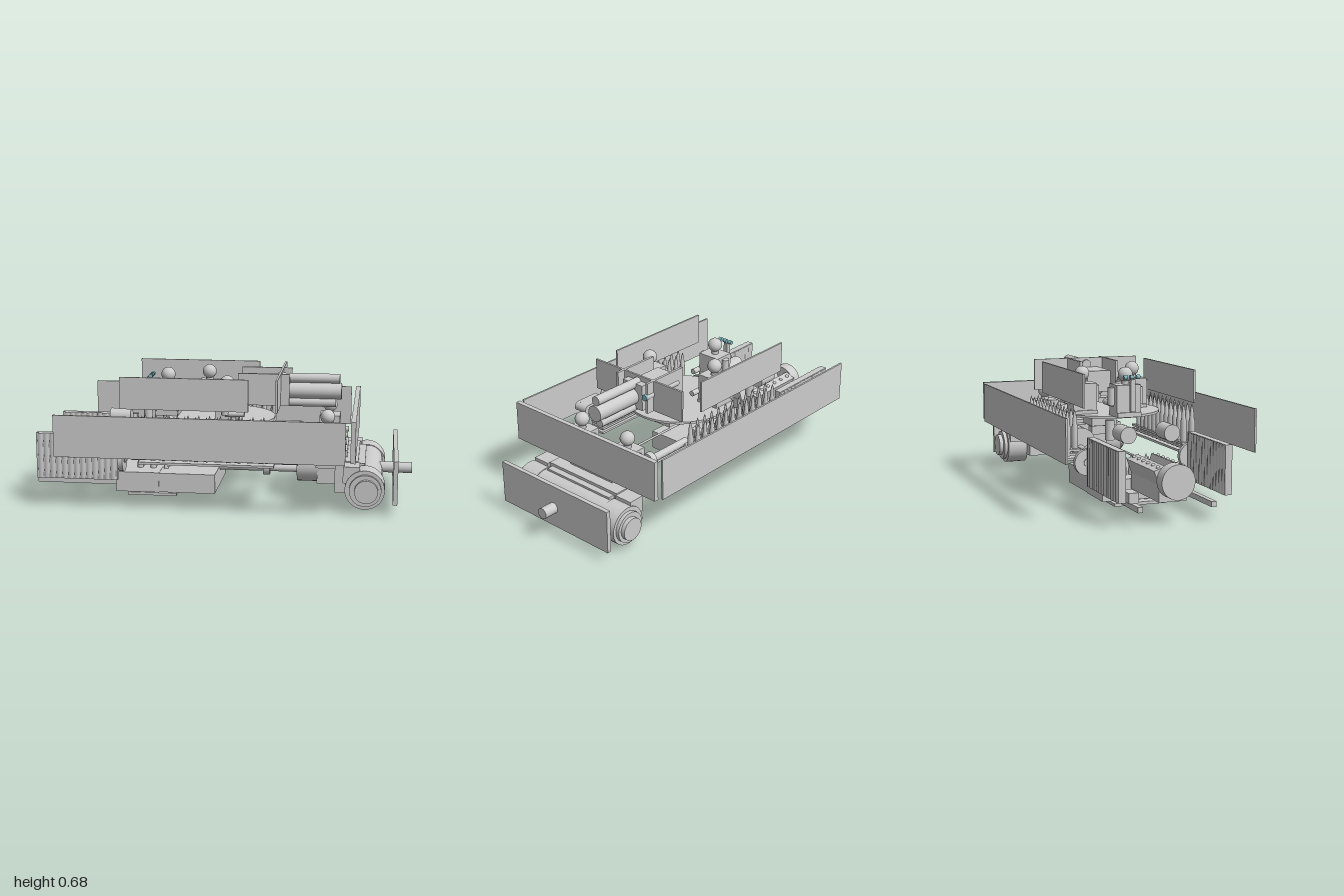
import * as THREE from 'three';

export function createModel() {
  const root = new THREE.Group();
  const grey = new THREE.MeshStandardMaterial({ color: 0xcccccc });
  const teal = new THREE.MeshStandardMaterial({ color: 0x7fb8c0 });

  function add(name, geo, x, y, z, mat = grey, parent = root) {
    const m = new THREE.Mesh(geo, mat);
    m.name = name;
    m.position.set(x, y, z);
    parent.add(m);
    return m;
  }
  // Box given by its lower and upper limits on each axis
  const box = (name, x0, x1, y0, y1, z0, z1, parent = root) =>
    add(name, new THREE.BoxGeometry(x1 - x0, y1 - y0, z1 - z0),
      (x0 + x1) / 2, (y0 + y1) / 2, (z0 + z1) / 2, grey, parent);
  // Cylinder along a chosen axis
  function cyl(name, axis, r, len, x, y, z, { mat = grey, parent = root, seg = 28 } = {}) {
    const g = new THREE.CylinderGeometry(r, r, len, seg);
    if (axis === 'x') g.rotateZ(-Math.PI / 2);
    if (axis === 'z') g.rotateX(Math.PI / 2);
    return add(name, g, x, y, z, mat, parent);
  }
  const ball = (name, r, x, y, z, parent = root) =>
    add(name, new THREE.SphereGeometry(r, 24, 16), x, y, z, grey, parent);

  // Separated hull plates
  for (const s of [-1, 1])
    box('hullSidePlate', -0.82, 0.66, 0.288, 0.505, s * 0.487 - 0.005, s * 0.487 + 0.005);
  box('upperFrontPlate', 0.685, 0.71, 0.298, 0.51, -0.485, 0.485);
  box('lowerFrontPlate', 0.9, 0.923, 0.06, 0.288, -0.372, 0.372);
  cyl('hullGun', 'x', 0.029, 0.17, 0.915, 0.166, 0);

  // Turret plates
  for (const s of [-1, 1]) {
    box('turretSidePlate', -0.515, 0.155, 0.505, 0.673, s * 0.296 - 0.005, s * 0.296 + 0.005);
    box('mantletCheek', 0.08, 0.35, 0.505, 0.673, s * 0.102 - 0.007, s * 0.102 + 0.007);
  }
  box('turretFrontPlate', 0.294, 0.305, 0.505, 0.673, -0.3, 0.3);

  // Main gun, breech and sight
  box('gunBreech', 0.08, 0.294, 0.505, 0.62, -0.067, 0.067);
  box('gunMantlet', 0.305, 0.345, 0.505, 0.645, -0.067, 0.067);
  cyl('mainBarrel', 'x', 0.043, 0.34, 0.45, 0.57, 0);
  cyl('upperRecuperator', 'x', 0.025, 0.33, 0.445, 0.637, 0);
  cyl('lowerRecuperator', 'x', 0.024, 0.31, 0.435, 0.508, 0);
  cyl('gunSight', 'x', 0.016, 0.24, 0.235, 0.597, -0.1);
  cyl('sightLens', 'x', 0.017, 0.012, 0.359, 0.597, -0.1, { mat: teal });

  // Crew of five, seated and facing forward
  function crew(name, x, y, z) {
    const g = new THREE.Group();
    g.name = name;
    g.position.set(x, y, z);
    root.add(g);
    ball('head', 0.038, 0, 0, 0, g);
    cyl('neck', 'y', 0.02, 0.04, 0, -0.045, 0, { parent: g });
    box('torso', -0.055, 0.055, -0.19, -0.05, -0.065, 0.065, g);
    box('seat', -0.065, 0.06, -0.215, -0.19, -0.065, 0.065, g);
    for (const s of [-1, 1]) {
      cyl('shoulder', 'y', 0.02, 0.09, 0, -0.11, s * 0.075, { parent: g });
      cyl('forearm', 'x', 0.015, 0.1, 0.05, -0.15, s * 0.072, { parent: g });
    }
  }
  crew('commander', -0.31, 0.641, 0);
  crew('loader', -0.11, 0.633, -0.165);
  crew('gunner', 0.03, 0.633, 0.17);
  for (const s of [-1, 1]) {
    crew('driver', 0.555, 0.465, s * 0.16);
    box('driverSeatBase', 0.5, 0.61, 0.2, 0.25, s * 0.16 - 0.05, s * 0.16 + 0.05);
  }

  // Observation scope behind the commander
  for (let i = 0; i < 3; i++)
    cyl('observationScope', 'z', 0.011, 0.02, -0.4, 0.635, (i - 1) * 0.034, { mat: teal });
  box('scopeStand', -0.425, -0.4, 0.46, 0.625, -0.012, 0.012);
  cyl('radioDrum', 'y', 0.024, 0.1, -0.45, 0.38, -0.137);

  // Turret floor with the traverse drive below it
  cyl('turretFloor', 'y', 0.287, 0.012, -0.02, 0.419, 0, { seg: 56 });
  box('traverseDrive', 0, 0.14, 0.33, 0.413, -0.07, 0.07);

  // Shell: case, shoulder, pointed tip, standing on its base
  const shellProfile = [[0, 0], [0.016, 0], [0.016, 0.11], [0.011, 0.125], [0.011, 0.14], [0.006, 0.165], [0, 0.18]];
  const shellGeo = new THREE.LatheGeometry(shellProfile.map(p => new THREE.Vector2(...p)), 14);
  const shell = (name, x, y, z, stretch) =>
    add(name, shellGeo, x, y, z).scale.set(1, stretch, 1);

  // Ammunition racks along both sides
  for (const s of [-1, 1]) {
    for (const y of [0.235, 0.26, 0.28])
      box('rackTray', -0.41, 0.293, y - 0.006, y + 0.006, s * 0.32 - 0.042, s * 0.32 + 0.042);
    for (let i = 0; i < 12; i++)
      for (const z of [0.298, 0.34])
        shell('rackShell', -0.38 + i * 0.056 - (z > 0.32 ? 0.01 : 0), 0.25, s * z, 1.3);
  }

  // Belly box with lower plate and the shells standing in it
  box('bellyBoxRear', -0.56, -0.33, 0.04, 0.147, -0.215, 0.215);
  box('bellyBoxFront', -0.33, -0.03, 0.042, 0.145, -0.213, 0.213);
  box('lowerHatch', -0.515, -0.25, 0, 0.015, -0.135, 0.135);
  [-0.45, -0.38, -0.31].forEach((x, row) => {
    for (let i = 0; i < 6; i++) {
      const z = -0.1 + i * 0.04;
      cyl('hatchPin', 'y', 0.012, 0.03, x, 0.028, z, { seg: 14 });
      shell('bellyShell', x, 0.05, z, 1.12 - row * 0.16);
    }
  });

  // Engine with two banks and a flywheel
  cyl('flywheel', 'x', 0.085, 0.065, -0.967, 0.205, 0);
  box('crankcase', -0.93, -0.57, 0.1, 0.2, -0.07, 0.07);
  for (const s of [-1, 1]) {
    const bank = box('cylinderBank', -0.93, -0.575, 0.165, 0.265, s * 0.05 - 0.03, s * 0.05 + 0.03);
    bank.rotation.x = s * 0.35;
    for (let i = 0; i < 6; i++)
      ball('valveCap', 0.01, -0.9 + i * 0.06, 0.263, s * 0.064);

    // Air filters and cooling fans
    cyl('airFilter', 'x', 0.042, 0.115, -0.597, 0.38, s * 0.115);
    cyl('coolingFan', 'x', 0.066, 0.026, -0.51, 0.235, s * 0.28);
    cyl('fanHub', 'x', 0.02, 0.036, -0.51, 0.235, s * 0.28);

    // Ribbed radiators
    box('radiator', -0.97, -0.535, 0.12, 0.363, s * 0.27 - 0.018, s * 0.27 + 0.018);
    for (let i = 0; i < 13; i++)
      cyl('radiatorRib', 'y', 0.023, 0.24, -0.948 + i * 0.0325, 0.241, s * 0.27, { seg: 14 });

    // Exhaust rails
    box('exhaustRail', -0.99, -0.55, 0.073, 0.1, s * 0.187 - 0.013, s * 0.187 + 0.013);
    // Long control rods
    cyl('controlRod', 'x', 0.006, 0.9, -0.05, 0.19, s * 0.1, { seg: 12 });
  }
  box('muffler', -0.905, -0.81, 0.1, 0.15, -0.212, -0.162);

  // Drive shaft and couplings
  cyl('driveShaft', 'x', 0.021, 0.48, 0.17, 0.143, 0);
  cyl('shaftCoupling', 'x', 0.042, 0.035, 0.225, 0.145, 0);
  cyl('shaftCoupling', 'x', 0.03, 0.05, -0.15, 0.165, 0);

  // Gearbox
  cyl('clutchHousing', 'x', 0.092, 0.115, 0.45, 0.17, 0);
  box('gearbox', 0.5, 0.62, 0.085, 0.265, -0.09, 0.09);
  box('gearboxTop', 0.56, 0.66, 0.22, 0.285, -0.15, 0.15);
  box('steeringHousing', 0.6, 0.72, 0.08, 0.25, -0.24, 0.24);

  // Transverse final drives
  cyl('axleDrum', 'z', 0.08, 0.48, 0.765, 0.145, 0);
  box('axleRidge', 0.72, 0.755, 0.2, 0.235, -0.22, 0.22);
  for (const s of [-1, 1]) {
    cyl('brakeDrum', 'z', 0.102, 0.115, 0.757, 0.128, s * 0.292);
    cyl('outputFlange', 'z', 0.082, 0.02, 0.76, 0.128, s * 0.358);
    cyl('outputHub', 'z', 0.06, 0.06, 0.765, 0.128, s * 0.36);
    box('brakeMount', 0.645, 0.73, 0.16, 0.245, s * 0.292 - 0.05, s * 0.292 + 0.05);
  }

  // Radio set beside the front crew
  box('radioSet', 0.29, 0.42, 0.41, 0.46, 0.25, 0.33);
  cyl('radioEnd', 'z', 0.025, 0.08, 0.418, 0.435, 0.29);

  return root;
}
